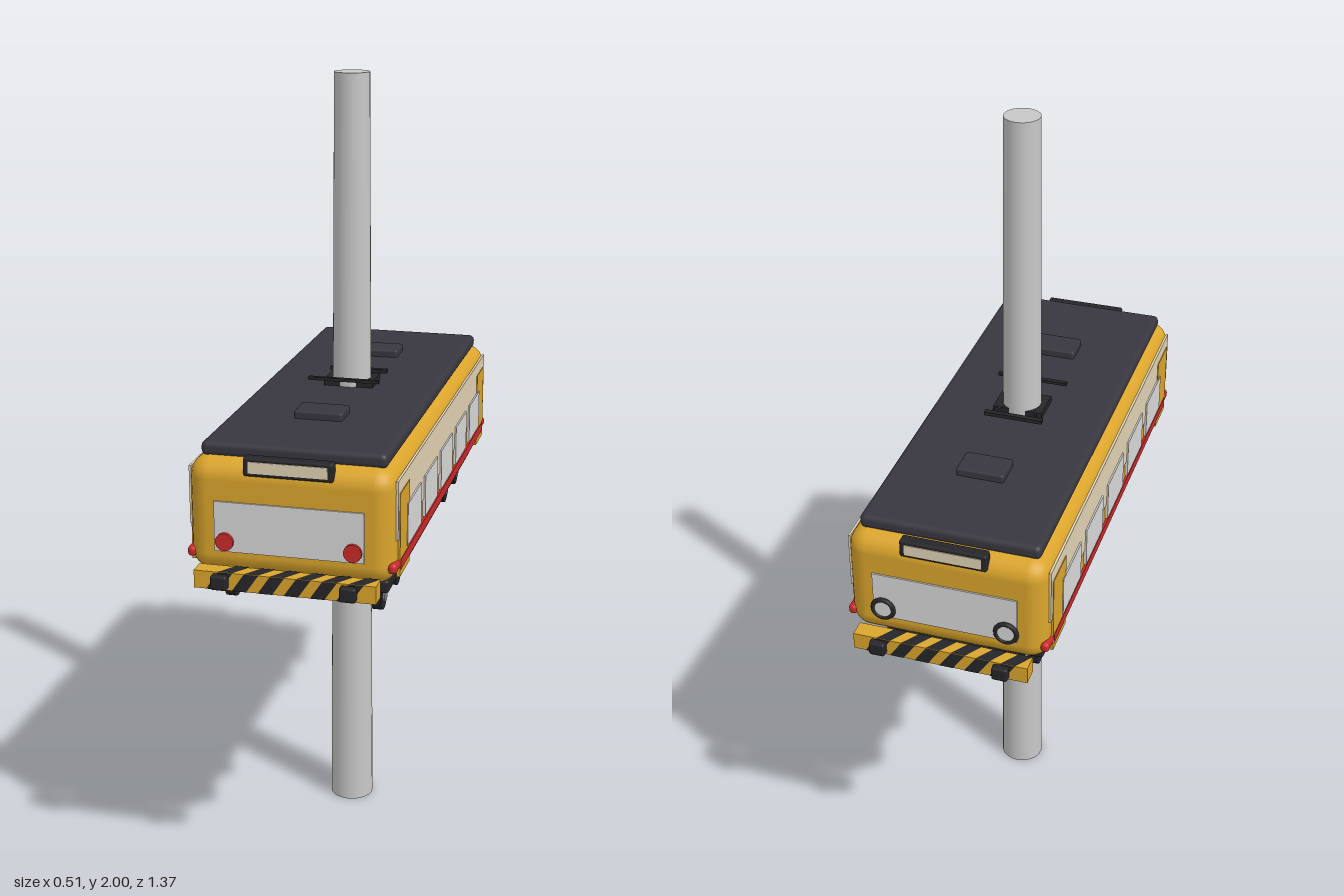
import * as THREE from 'three';
import { RoundedBoxGeometry } from 'three/addons/geometries/RoundedBoxGeometry.js';

const mat = (name, color, side = THREE.FrontSide) => {
  const m = new THREE.MeshStandardMaterial({ color, side });
  m.name = name;
  return m;
};

export function createModel() {
  const yellow = mat('yellow paint', 0xdba52c);
  const cream = mat('cream paint', 0xe2d3b4);
  const glass = mat('pale glass', 0xd9d9d9);
  const red = mat('red', 0xcc2a2a);
  const roofGrey = mat('charcoal', 0x38373f);
  const black = mat('black', 0x26262a);
  const steel = mat('pole grey', 0xc8c8c8);
  const hubGrey = mat('hub grey', 0x88888e);

  const model = new THREE.Group();
  model.name = 'tramOnPole';

  const add = (parent, name, geometry, material, x = 0, y = 0, z = 0) => {
    const mesh = new THREE.Mesh(geometry, material);
    mesh.name = name;
    mesh.position.set(x, y, z);
    parent.add(mesh);
    return mesh;
  };
  const box = (parent, name, w, h, d, material, x, y, z) =>
    add(parent, name, new THREE.BoxGeometry(w, h, d), material, x, y, z);
  const rounded = (parent, name, w, h, d, r, material, x, y, z) =>
    add(parent, name, new RoundedBoxGeometry(w, h, d, 3, r), material, x, y, z);
  // straight thin rod between two points
  const rod = (parent, name, a, b, r, material) => {
    const path = new THREE.LineCurve3(new THREE.Vector3(...a), new THREE.Vector3(...b));
    return add(parent, name, new THREE.TubeGeometry(path, 1, r, 6), material);
  };

  // Pole through the middle of the car
  add(model, 'pole', new THREE.CylinderGeometry(0.045, 0.058, 2, 32), steel, 0, 1, 0);

  // Car body and roof
  rounded(model, 'body', 0.5, 0.285, 1.24, 0.05, yellow, 0, 1.0275, 0);
  rounded(model, 'roof', 0.45, 0.036, 1.16, 0.014, roofGrey, 0, 1.182, 0);
  for (const z of [-0.31, 0.31]) {
    rounded(model, 'roofVent', 0.122, 0.024, 0.082, 0.006, roofGrey, 0, 1.208, z);
  }

  // Current collector around the pole
  box(model, 'collectorBase', 0.13, 0.018, 0.09, black, 0, 1.207, 0);
  box(model, 'collectorBarFront', 0.186, 0.008, 0.012, black, 0, 1.231, 0.092);
  box(model, 'collectorBarRear', 0.154, 0.01, 0.014, black, 0, 1.214, -0.077);
  rod(model, 'collectorArm', [0, 1.212, 0.03], [0, 1.23, 0.092], 0.003, black);
  for (const s of [-1, 1]) {
    rod(model, 'collectorArm', [s * 0.04, 1.214, -0.03], [s * 0.065, 1.214, -0.077], 0.003, black);
  }

  // Side panels, doors, windows, stripe and corner lamps
  for (const s of [-1, 1]) {
    const side = new THREE.Group();
    side.name = s > 0 ? 'leftSide' : 'rightSide';
    model.add(side);
    box(side, 'creamPanel', 0.006, 0.145, 1.17, cream, s * 0.25, 1.0675, 0);
    box(side, 'redStripe', 0.009, 0.026, 1.13, red, s * 0.2515, 0.929, 0);
    for (const e of [-1, 1]) {
      box(side, 'door', 0.008, 0.207, 0.105, yellow, s * 0.251, 1.0035, e * 0.518);
      rounded(side, 'cornerLamp', 0.022, 0.026, 0.055, 0.01, red, s * 0.244, 0.932, e * 0.583);
    }
    for (let i = -2; i <= 2; i++) {
      box(side, 'window', 0.009, 0.106, 0.158, glass, s * 0.2525, 1.002, i * 0.207);
    }
  }

  // One end of the car, built facing +z
  const makeEnd = (name, tail) => {
    const end = new THREE.Group();
    end.name = name;
    box(end, 'windscreen', 0.362, 0.124, 0.008, glass, 0, 1.008, 0.62);
    rounded(end, 'signFrame', 0.216, 0.046, 0.03, 0.006, black, 0, 1.16, 0.609);
    box(end, 'signPanel', 0.19, 0.028, 0.006, cream, 0, 1.16, 0.623);
    box(end, 'coupling', 0.21, 0.03, 0.03, black, 0, 0.885, 0.615);

    for (const s of [-1, 1]) {
      if (tail) {
        const lamp = new THREE.CylinderGeometry(0.022, 0.022, 0.012, 20).rotateX(Math.PI / 2);
        add(end, 'tailLamp', lamp, red, s * 0.155, 0.972, 0.626);
      } else {
        add(end, 'headlampRing', new THREE.TorusGeometry(0.026, 0.006, 8, 24), black, s * 0.155, 0.972, 0.627);
        const lamp = new THREE.CylinderGeometry(0.025, 0.025, 0.01, 20).rotateX(Math.PI / 2);
        add(end, 'headlamp', lamp, glass, s * 0.155, 0.972, 0.625);
      }
      rounded(end, 'buffer', 0.04, 0.036, 0.07, 0.006, black, s * 0.155, 0.888, 0.65);
    }

    // Bumper with slanted hazard stripes wrapping over three faces
    const y0 = 0.866, h = 0.044, z0 = 0.622, d = 0.044, slant = 0.03, w = 0.035;
    box(end, 'bumper', 0.44, h, d, yellow, 0, y0 + h / 2, z0 + d / 2);
    const stripe = (x, height) => new THREE.ShapeGeometry(new THREE.Shape([
      new THREE.Vector2(x, 0), new THREE.Vector2(x + w, 0),
      new THREE.Vector2(x + w + slant, height), new THREE.Vector2(x + slant, height),
    ]));
    for (let i = 0; i < 6; i++) {
      const x = -0.19 + i * 0.063;
      add(end, 'hazardStripeFront', stripe(x, h), black, 0, y0, z0 + d + 0.001);
      add(end, 'hazardStripeTop', stripe(x + slant, d).rotateX(-Math.PI / 2), black, 0, y0 + h + 0.001, z0 + d);
      add(end, 'hazardStripeBottom', stripe(x - slant, d).rotateX(Math.PI / 2), black, 0, y0 - 0.001, z0);
    }
    model.add(end);
    return end;
  };
  makeEnd('frontEnd', true);
  makeEnd('backEnd', false).rotation.y = Math.PI;

  // Underframe
  rounded(model, 'underframe', 0.444, 0.034, 1.09, 0.008, black, 0, 0.859, 0);
  box(model, 'underframeSpacer', 0.4, 0.016, 1.0, black, 0, 0.88, 0);
  box(model, 'poleMount', 0.16, 0.026, 0.2, black, 0, 0.833, 0);
  box(model, 'poleMountPlate', 0.13, 0.02, 0.15, roofGrey, 0, 0.812, 0);

  // Bogies with two axles each
  for (const e of [-1, 1]) {
    const bogie = new THREE.Group();
    bogie.name = e > 0 ? 'frontBogie' : 'backBogie';
    model.add(bogie);
    box(bogie, 'bogieFrame', 0.33, 0.036, 0.25, black, 0, 0.826, e * 0.395);
    for (const z of [0.315, 0.475]) {
      const axle = new THREE.CylinderGeometry(0.012, 0.012, 0.36, 10).rotateZ(Math.PI / 2);
      add(bogie, 'axle', axle, black, 0, 0.81, e * z);
      for (const s of [-1, 1]) {
        const wheel = new THREE.CylinderGeometry(0.036, 0.036, 0.024, 20).rotateZ(Math.PI / 2);
        add(bogie, 'wheel', wheel, black, s * 0.184, 0.81, e * z);
        const hub = new THREE.CylinderGeometry(0.016, 0.016, 0.006, 14).rotateZ(Math.PI / 2);
        add(bogie, 'hub', hub, hubGrey, s * 0.198, 0.81, e * z);
      }
    }
  }

  return model;
}
